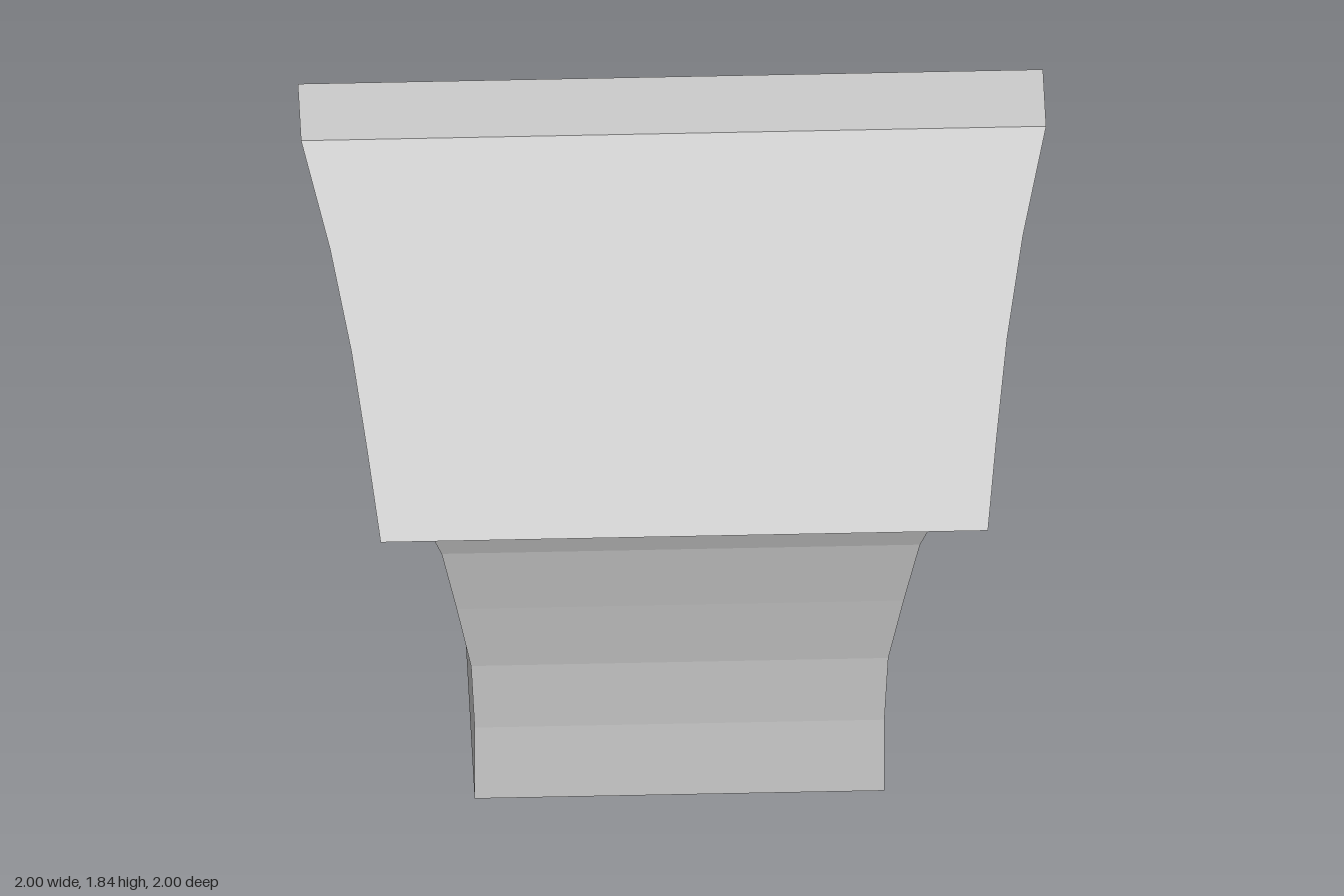
import * as THREE from 'three';

const material = new THREE.MeshStandardMaterial({ color: 0xcccccc, flatShading: true });

// Flared wall profile: [height, half width in x, half depth in z]
const WALL = [[0, 0.55, 0.613], [0.235, 0.55, 0.613], [0.45, 0.56, 0.628], [0.67, 0.6, 0.67], [0.89, 0.642, 0.72], [1.135, 0.725, 0.815]];
// Roof profile: gables lean outwards towards the ridge
const ROOF = [[1.135, 0.815, 1], [1.297, 0.845, 0.8], [1.47, 0.88, 0.587], [1.65, 0.93, 0.365], [1.84, 1, 0.13]];
// Doorway profile: [height, half width]
const DOOR = [[0.05, 0.345], [0.45, 0.355], [0.64, 0.315], [0.825, 0.11], [0.845, 0]];
const DOOR_DEPTH = 0.27, DOOR_RISE = 0.03;

// Linear interpolation in a profile table
function at(table, y, column) {
  let i = 1;
  while (i < table.length - 1 && y > table[i][0]) i++;
  const [a, b] = [table[i - 1], table[i]];
  return a[column] + (b[column] - a[column]) * (y - a[0]) / (b[0] - a[0]);
}

// Skins rows of points (left to right, bottom to top, seen from outside)
function skin(name, ...grids) {
  const out = [];
  const tri = (...p) => {
    const [a, b, c] = p.map((q) => new THREE.Vector3(...q));
    if (b.clone().sub(a).cross(c.clone().sub(a)).length() > 1e-7) out.push(...p.flat());
  };
  for (const rows of grids) {
    for (let i = 0; i < rows.length - 1; i++) {
      for (let j = 0; j < rows[i].length - 1; j++) {
        const [a, b, c, d] = [rows[i][j], rows[i][j + 1], rows[i + 1][j + 1], rows[i + 1][j]];
        tri(a, b, c);
        tri(a, c, d);
      }
    }
  }
  const geometry = new THREE.BufferGeometry();
  geometry.setAttribute('position', new THREE.Float32BufferAttribute(out, 3));
  geometry.computeVertexNormals();
  const mesh = new THREE.Mesh(geometry, material);
  mesh.name = name;
  return mesh;
}

// Rectangle of corners at one height, starting at the right back corner
const ring = ([y, x, z]) => [[x, y, -z], [-x, y, -z], [-x, y, z], [x, y, z], [x, y, -z]];
const point = (y) => Array(5).fill([0, y, 0]);

export function createModel() {
  const model = new THREE.Group();
  model.name = 'kennel';

  // Three plain walls and the floor underside
  const walls = WALL.map((row) => ring(row).slice(0, 4));
  model.add(skin('walls', walls), skin('base', [point(0), ring(WALL[0])]));

  // Levels through the door wall, including every bend of wall and doorway
  const heights = [...new Set([...WALL, ...DOOR].map((row) => row[0]))].sort((a, b) => a - b);
  const opening = heights.filter((y) => y >= 0.05 && y <= 0.845).map((y) => [y, at(DOOR, y, 1)]);
  const levels = [[0, 0], [0.05, 0], ...opening, ...heights.filter((y) => y > 0.845).map((y) => [y, 0])];
  const wallX = (y) => at(WALL, y, 1);
  const wallZ = (y) => at(WALL, y, 2);

  // Door wall: one strip on each side of the opening
  model.add(skin('doorWall',
    levels.map(([y, d]) => [[wallX(y), y, wallZ(y)], [wallX(y), y, d]]),
    levels.map(([y, d]) => [[wallX(y), y, -d], [wallX(y), y, -wallZ(y)]])));

  // Recess: sill, jambs and arch, closed by a back panel
  const inward = ([x, y, z]) => [x - DOOR_DEPTH, y + DOOR_RISE, z];
  const side = (s) => opening.map(([y, d]) => [wallX(y), y, s * d]);
  const left = side(1), right = side(-1);
  const outline = [left[0], ...right, ...left.slice().reverse()];
  model.add(skin('doorRecess', [outline, outline.map(inward)]));
  model.add(skin('doorBackPanel', left.map((p, i) => [inward(p), inward(right[i])])));

  // Roof with flat ridge and closed underside
  model.add(skin('roof', [point(ROOF[0][0]), ...ROOF.map(ring), point(1.84)]));
  return model;
}
